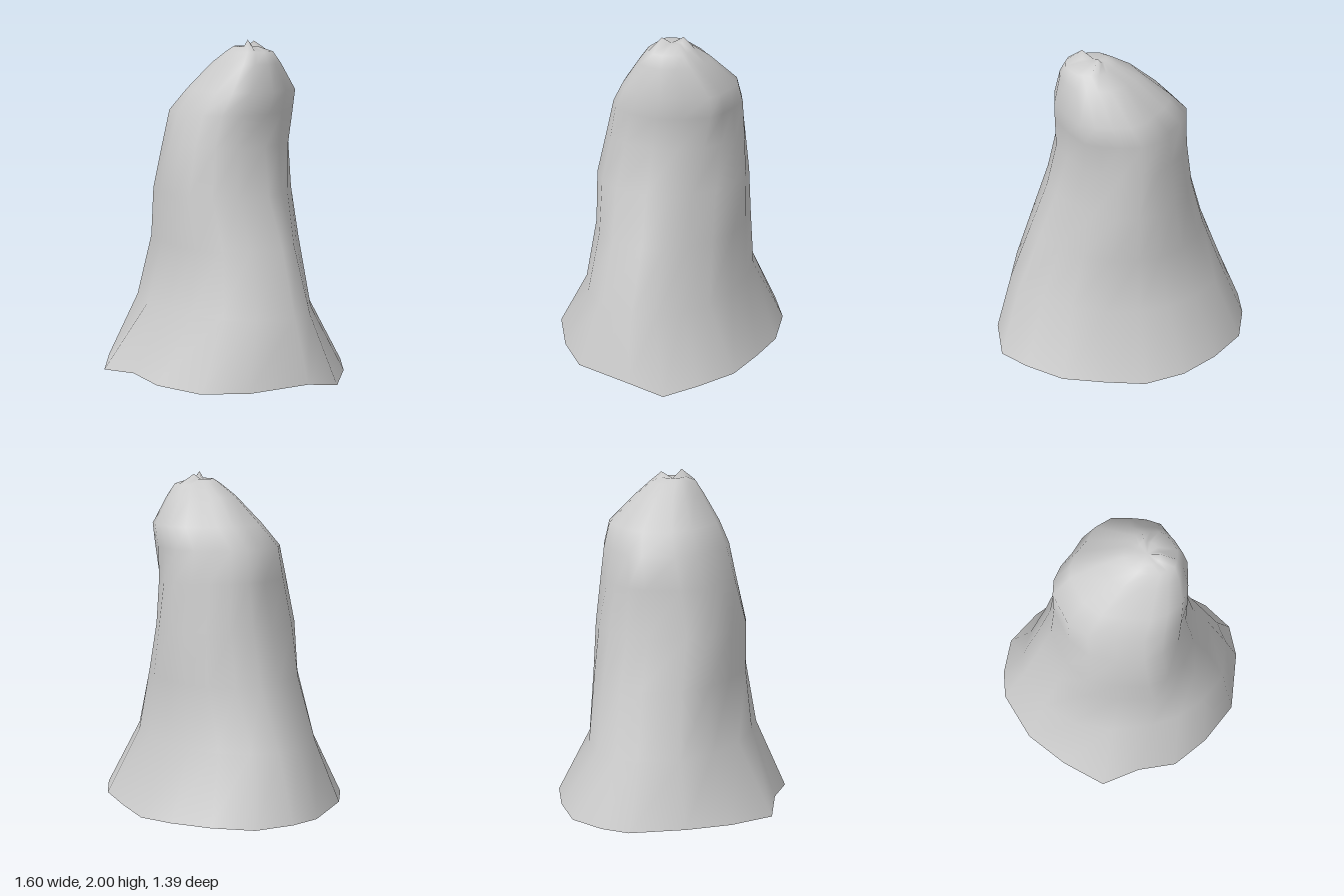
import * as THREE from 'three';

// Unit outlines [x, z], running from the right side round the back, left and front
const FOOT = [
  [-1, -.01], [-.98, -.26], [-.88, -.57], [-.63, -.8], [-.35, -.965], [-.04, -1],
  [.26, -.93], [.58, -.83], [.83, -.61], [1, -.36], [1, -.04], [.87, .47],
  [.6, .74], [.31, .93], [0, .93], [-.31, 1], [-.6, .74], [-.85, .43],
];
// The waist is hollowed at its back left corner
const WAIST = [
  [-1, 0], [-.97, -.3], [-.85, -.6], [-.62, -.84], [-.35, -.98], [-.1, -1],
  [.22, -.94], [.5, -.76], [.72, -.5], [.93, -.25], [1, .02], [.92, .46],
  [.72, .74], [.45, .92], [.2, 1], [-.2, .92], [-.6, .78], [-.85, .5],
];
// The head has a ridge at its back left corner and is cut away at its back right
const HEAD = [
  [-1, 0], [-.95, -.24], [-.81, -.46], [-.6, -.66], [-.42, -.88], [-.13, -1],
  [.17, -.95], [.45, -.87], [.68, -.74], [.87, -.35], [1, .05], [.93, .49],
  [.78, .8], [.5, .95], [.2, 1], [-.2, .92], [-.6, .78], [-.85, .5],
];
const OUTLINES = [FOOT, WAIST, HEAD];
// Uneven heights of the bottom edge
const HEM = [.04, .035, .03, .03, .03, .01, .02, .03, .03, 0, .045, .03, .01, .03, .045, .02, .035, .055];

// Sections: y, xMin, xMax, zMin, zMax, blend (0 foot, 1 waist, 2 head)
const SECTIONS = [
  [0, -.8, .795, -.7, .695, 0],
  [.42, -.65, .69, -.5, .475, .65],
  [.8, -.51, .555, -.485, .41, 1],
  [1.1, -.43, .44, -.475, .42, 1.1],
  [1.38, -.395, .38, -.455, .35, 1.6],
  [1.57, -.39, .385, -.44, .295, 2],
  [1.7, -.28, .39, -.43, .22, 2],
  [1.86, -.1, .355, -.285, .105, 2],
  [1.93, .02, .32, -.215, .05, 2],
  [1.96, .08, .22, -.14, 0, 2],
];

function createSpire() {
  const n = FOOT.length, positions = [], index = [];
  SECTIONS.forEach(([y, x0, x1, z0, z1, blend], s) => {
    const k = Math.min(Math.floor(blend), 1), t = blend - k;
    for (let i = 0; i < n; i++) {
      const u = THREE.MathUtils.lerp(OUTLINES[k][i][0], OUTLINES[k + 1][i][0], t);
      const v = THREE.MathUtils.lerp(OUTLINES[k][i][1], OUTLINES[k + 1][i][1], t);
      let h = y;
      if (s === 0) h += HEM[i];
      // Two small peaks on the summit rim
      if (s === SECTIONS.length - 1) h += i === 11 ? .04 : i === 5 ? .03 : 0;
      positions.push((x0 + x1) / 2 + u * (x1 - x0) / 2, h, (z0 + z1) / 2 + v * (z1 - z0) / 2);
    }
  });
  for (let s = 0; s < SECTIONS.length - 1; s++) {
    for (let i = 0; i < n; i++) {
      const a = s * n + i, b = s * n + (i + 1) % n;
      index.push(a, a + n, b, b, a + n, b + n);
    }
  }
  // Shallow notch closing the summit
  const apex = positions.length / 3, last = apex - n;
  positions.push(.15, 1.95, -.07);
  for (let i = 0; i < n; i++) index.push(last + i, apex, last + (i + 1) % n);

  const geometry = new THREE.BufferGeometry();
  geometry.setAttribute('position', new THREE.Float32BufferAttribute(positions, 3));
  geometry.setIndex(index);
  geometry.computeVertexNormals();
  return geometry;
}

export function createModel() {
  const group = new THREE.Group();
  group.name = 'rockSpire';
  // Hollow shell, open at the bottom
  const material = new THREE.MeshStandardMaterial({ color: 0xcccccc, side: THREE.DoubleSide });
  const shell = new THREE.Mesh(createSpire(), material);
  shell.name = 'spireShell';
  group.add(shell);
  return group;
}
